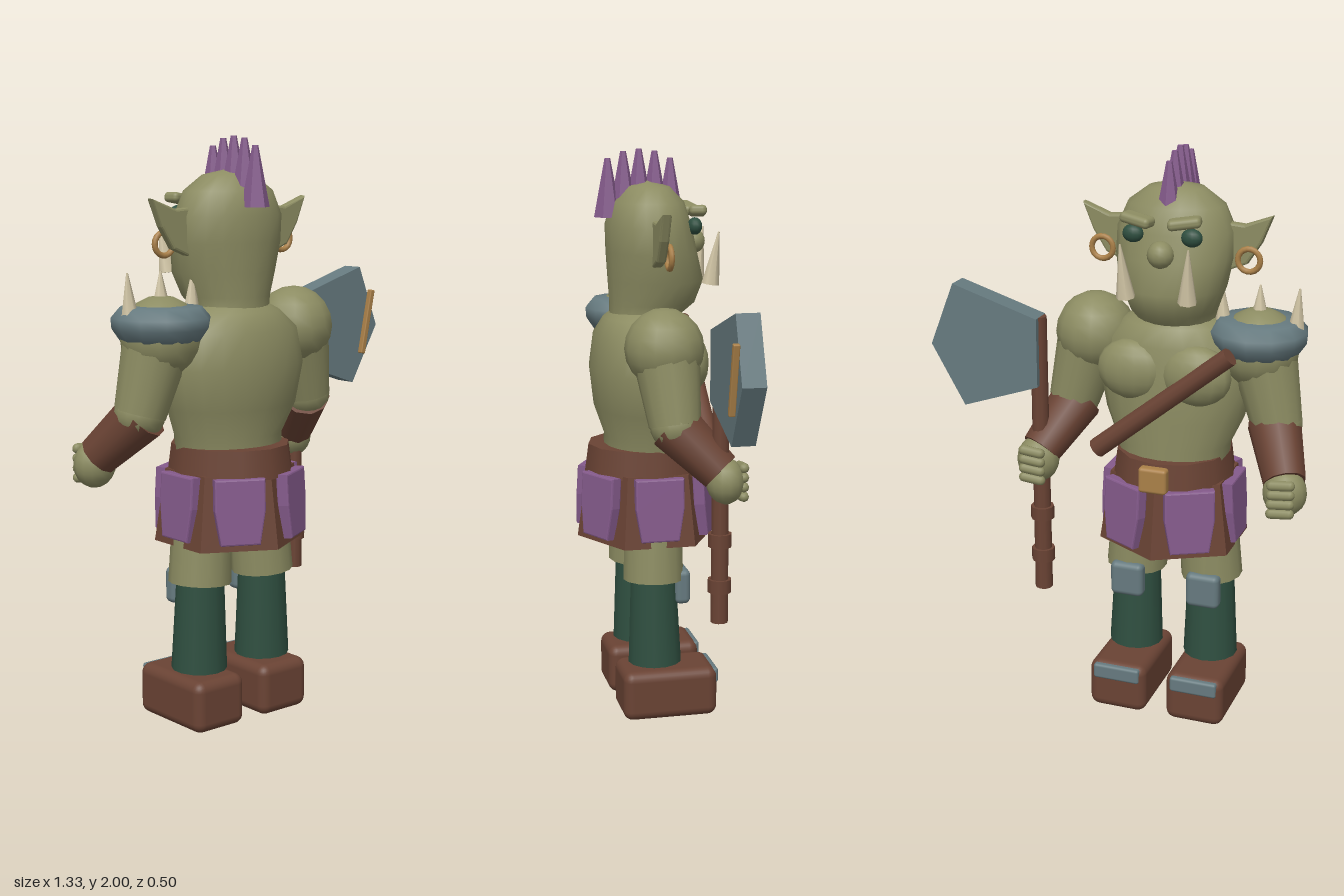
import * as THREE from 'three';
import { RoundedBoxGeometry } from 'three/addons/geometries/RoundedBoxGeometry.js';

const mat = (name, color) => {
  const m = new THREE.MeshStandardMaterial({ color });
  m.name = name;
  return m;
};
const V = (a) => new THREE.Vector3(...a);

export function createModel() {
  const skin = mat('olive skin', 0x8c8c62), leather = mat('brown leather', 0x6a4334);
  const purple = mat('purple', 0x855b8c), steel = mat('steel', 0x667a7f);
  const green = mat('dark green', 0x2f4f40), bone = mat('bone', 0xd0c4a4), gold = mat('gold', 0xaa8048);

  const model = new THREE.Group();
  model.name = 'ogreWarrior';
  const body = new THREE.Group();
  body.name = 'body';
  body.position.x = -0.155;
  model.add(body);

  const add = (name, geo, m, pos = [0, 0, 0], rot = [0, 0, 0], scale = [1, 1, 1]) => {
    const mesh = new THREE.Mesh(geo, m);
    mesh.name = name;
    mesh.position.set(...pos);
    mesh.rotation.set(...rot);
    mesh.scale.set(...scale);
    body.add(mesh);
    return mesh;
  };
  const ball = (name, m, pos, size) => add(name, new THREE.SphereGeometry(1, 14, 10), m, pos, [0, 0, 0], size);
  // Tapered cylinder from a to b
  const limb = (name, m, a, b, ra, rb, sides = 12) => {
    const A = V(a), B = V(b), d = B.clone().sub(A);
    const mesh = add(name, new THREE.CylinderGeometry(rb, ra, d.length(), sides), m, A.clone().add(B).multiplyScalar(0.5).toArray());
    mesh.quaternion.setFromUnitVectors(new THREE.Vector3(0, 1, 0), d.normalize());
    return mesh;
  };
  const box = (name, m, size, r, pos, rot) => add(name, new RoundedBoxGeometry(...size, 3, r), m, pos, rot);
  // Smooth skin over rows of [y, half width, back z, front z]
  const loft = (name, m, rows, n = 20) => {
    const p = [], idx = [];
    rows.forEach(([y, w, zb, zf]) => {
      for (let i = 0; i < n; i++) {
        const a = (i / n) * Math.PI * 2;
        p.push(w * Math.sin(a), y, (zb + zf) / 2 + ((zb - zf) / 2) * Math.cos(a));
      }
    });
    for (let r = 0; r < rows.length - 1; r++) {
      for (let i = 0; i < n; i++) {
        const a = r * n + i, b = r * n + ((i + 1) % n);
        idx.push(a, b, b + n, a, b + n, a + n);
      }
    }
    const g = new THREE.BufferGeometry();
    g.setAttribute('position', new THREE.Float32BufferAttribute(p, 3));
    g.setIndex(idx);
    g.computeVertexNormals();
    return add(name, g, m);
  };
  const plate = (points, depth, bevel) => {
    const g = new THREE.ExtrudeGeometry(new THREE.Shape(points.map((q) => new THREE.Vector2(...q))), {
      depth, bevelEnabled: bevel > 0, bevelSize: bevel, bevelThickness: bevel, bevelSegments: 2,
    });
    return g.translate(0, 0, -depth / 2);
  };

  // Torso and head
  loft('torso', skin, [
    [0.86, 0.19, 0.16, -0.17], [1.0, 0.2, 0.15, -0.17], [1.1, 0.245, 0.185, -0.17], [1.24, 0.275, 0.2, -0.17],
    [1.36, 0.25, 0.185, -0.16], [1.42, 0.18, 0.15, -0.13], [1.46, 0.1, 0.1, -0.08], [1.46, 0, 0.01, 0.01],
  ]);
  loft('head', skin, [
    [1.36, 0.14, 0.13, -0.08], [1.43, 0.135, 0.13, -0.12], [1.47, 0.15, 0.13, -0.17], [1.55, 0.18, 0.135, -0.2],
    [1.65, 0.2, 0.14, -0.175], [1.74, 0.2, 0.142, -0.155], [1.82, 0.165, 0.12, -0.13], [1.872, 0.095, 0.07, -0.08],
    [1.892, 0, 0, -0.005],
  ]);
  ball('nose', skin, [0, 1.68, -0.165], [0.045, 0.045, 0.045]);

  // Mohawk
  for (let i = 0; i < 5; i++) {
    const t = i - 2;
    const g = new THREE.CylinderGeometry(0.01, 0.048, 0.2, 6).toNonIndexed();
    g.computeVertexNormals();
    add('mohawkSpike', g, purple, [0, 1.9 - 0.008 * t * t, 0.025 + 0.055 * t]);
  }

  for (const s of [-1, 1]) {
    // Face
    ball('pectoral', skin, [s * 0.11, 1.27, -0.125], [0.125, 0.105, 0.07]);
    ball('eye', green, [s * 0.1, 1.74, -0.15], [0.036, 0.03, 0.025]);
    box('brow', skin, [0.11, 0.035, 0.06], 0.015, [s * 0.08, 1.79, -0.165], [0, s * -0.2, s * 0.15]);
    limb('tusk', bone, [s * 0.105, 1.54, -0.205], [s * 0.115, 1.72, -0.232], 0.032, 0.003, 7);

    // Ear with ring
    const ear = [[0.17, 1.76], [0.235, 1.755], [0.32, 1.79], [0.285, 1.71], [0.24, 1.64], [0.17, 1.61]];
    add('ear', plate(ear.map(([x, y]) => [s * x, y]), 0.02, 0.008), skin, [0, 0, 0]);
    add('earring', new THREE.TorusGeometry(0.038, 0.01, 8, 18), gold, [s * 0.255, 1.65, -0.025]);

    // Arm
    ball('shoulder', skin, [s * 0.29, 1.35, 0], [0.138, 0.137, 0.135]);
    limb('upperArm', skin, [s * 0.3, 1.36, 0], [s * 0.365, 1.1, -0.02], 0.118, 0.088, 14);
    ball('elbow', skin, [s * 0.365, 1.1, -0.02], [0.088, 0.085, 0.085]);
    limb('bracer', leather, [s * 0.355, 1.1, -0.015], [s * 0.435, 0.95, -0.16], 0.092, 0.072, 10);
    ball('hand', skin, [s * 0.44, 0.92, -0.175], [0.075, 0.08, 0.065]);
    for (let f = 0; f < 4; f++) {
      add('finger', new THREE.CapsuleGeometry(0.018, 0.06, 4, 8), skin,
        [s * 0.44, 0.965 - f * 0.033, -0.232], [0, 0, Math.PI / 2 + s * 0.1]);
    }

    // Leg
    limb('thigh', skin, [s * 0.12, 0.8, 0], [s * 0.14, 0.5, 0.005], 0.1, 0.108, 14);
    limb('stocking', green, [s * 0.141, 0.195, 0], [s * 0.137, 0.55, 0.005], 0.096, 0.08, 14);
    box('kneePad', steel, [0.12, 0.125, 0.055], 0.02, [s * 0.14, 0.475, -0.092]);
    box('boot', leather, [0.21, 0.18, 0.34], 0.035, [s * 0.143, 0.092, -0.04]);
    box('toePlate', steel, [0.17, 0.055, 0.04], 0.01, [s * 0.143, 0.147, -0.195]);
  }

  // Belt, buckle and chest strap
  add('belt', new THREE.CylinderGeometry(0.2, 0.213, 0.1, 12), leather, [0, 0.92, 0], [0, 0, 0], [1, 1, 1.05]);
  box('buckle', gold, [0.1, 0.09, 0.04], 0.012, [0, 0.92, -0.225]);
  limb('chestStrap', leather, [0.22, 0.99, -0.18], [-0.245, 1.37, -0.185], 0.035, 0.032, 10);

  // Skirt with six cloth panels
  const skirt = new THREE.CylinderGeometry(0.215, 0.252, 0.25, 6).toNonIndexed();
  skirt.computeVertexNormals();
  add('underskirt', skirt, leather, [0, 0.76, 0], [0, 0, 0], [1.06, 1, 1]);
  const panel = plate([[-0.08, 0], [0.08, 0], [0.08, -0.1], [0.062, -0.21], [-0.062, -0.21], [-0.08, -0.1]], 0.03, 0.006);
  const panels = [[0.213, 0, 90], [0.113, 0.184, 28], [-0.113, 0.184, -28], [-0.213, 0, -90], [-0.113, -0.184, -152], [0.113, -0.184, 152]];
  for (const [x, z, deg] of panels) {
    const p = add('skirtPanel', panel, purple, [x, 0.875, z]);
    p.rotation.set(-0.06, THREE.MathUtils.degToRad(deg), 0, 'YXZ');
  }

  // Spiked shoulder guard
  const rim = [[0.08, -0.06], [0.135, -0.06], [0.162, -0.02], [0.165, 0.015], [0.135, 0.05], [0.08, 0.055]];
  add('shoulderGuard', new THREE.LatheGeometry(rim.map((q) => new THREE.Vector2(...q)), 12), steel, [-0.29, 1.4, 0]);
  for (const t of [-1, 0, 1]) {
    const x = -0.29 + t * 0.125;
    limb('shoulderSpike', bone, [x, t ? 1.43 : 1.46, 0], [x + t * 0.008, 1.565, 0], 0.028, 0.003, 7);
  }

  // Axe
  const ax = 0.435, az = -0.16;
  limb('axeHandle', leather, [ax, 0.425, az], [ax, 1.43, az], 0.031, 0.028, 10);
  for (const y of [0.555, 0.715]) limb('handleBand', leather, [ax, y - 0.023, az], [ax, y + 0.023, az], 0.041, 0.041, 10);
  add('axeBlade', plate([[0.425, 1.43], [0.73, 1.525], [0.817, 1.305], [0.698, 1.095], [0.425, 1.19]], 0.08, 0), steel, [0, 0, -0.165]);
  box('bladeTrim', gold, [0.02, 0.24, 0.022], 0.004, [0.757, 1.32, -0.115], [0, 0, -0.2]);

  return model;
}
